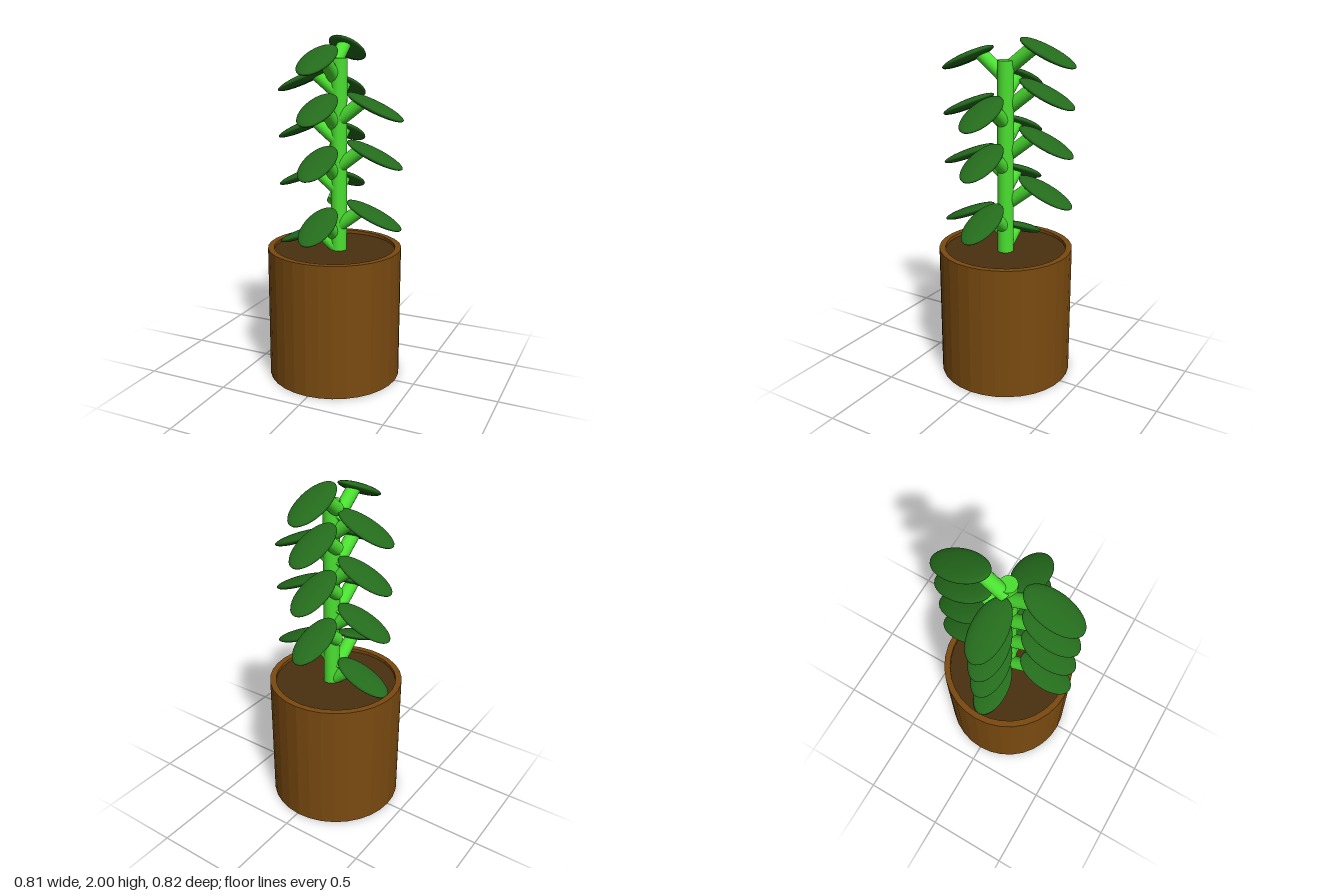
import * as THREE from 'three';

const potMat = new THREE.MeshStandardMaterial({ color: 0x7a4a10, flatShading: true });
const soilMat = new THREE.MeshStandardMaterial({ color: 0x4a3010 });
const stemMat = new THREE.MeshStandardMaterial({ color: 0x4be031 });
const leafMat = new THREE.MeshStandardMaterial({ color: 0x246b1c });

const TILT = 0.41; // downward slope of each leaf
const STALK_RADIUS = 0.039;

function addMesh(parent, name, geometry, material, x = 0, y = 0, z = 0) {
  const mesh = new THREE.Mesh(geometry, material);
  mesh.name = name;
  mesh.position.set(x, y, z);
  parent.add(mesh);
  return mesh;
}

// Cylinder running between two points
function stalkGeometry(from, to) {
  const axis = to.clone().sub(from);
  const geometry = new THREE.CylinderGeometry(STALK_RADIUS, STALK_RADIUS, axis.length(), 20);
  const turn = new THREE.Quaternion().setFromUnitVectors(
    new THREE.Vector3(0, 1, 0), axis.clone().normalize());
  geometry.applyQuaternion(turn);
  const mid = from.clone().add(to).multiplyScalar(0.5);
  return geometry.translate(mid.x, mid.y, mid.z);
}

// Rising stalk with a drooping oval leaf, pointing along local +x
function makeBranch(out, shift) {
  const branch = new THREE.Group();
  const end = out - 0.075;
  addMesh(branch, 'stalk', stalkGeometry(
    new THREE.Vector3(0, 0.03 - end * 0.78, shift),
    new THREE.Vector3(end, 0.03, shift)), stemMat);
  const leaf = addMesh(branch, 'leaf', new THREE.SphereGeometry(1, 32, 18), leafMat, out, 0, 0);
  leaf.scale.set(0.18, 0.028, 0.095);
  leaf.rotation.z = -TILT;
  return branch;
}

export function createModel() {
  const plant = new THREE.Group();
  plant.name = 'pottedPlant';

  // Pot: closed base, straight wall, flat rim and inner wall
  const profile = [[0, 0], [0.393, 0], [0.393, 0.79], [0.357, 0.79], [0.357, 0.74]]
    .map(([r, y]) => new THREE.Vector2(r, y));
  addMesh(plant, 'pot', new THREE.LatheGeometry(profile, 32), potMat, -0.012, 0, 0);
  addMesh(plant, 'soil', new THREE.CylinderGeometry(0.357, 0.357, 0.03, 32), soilMat, -0.012, 0.755, 0);

  // Main stem
  addMesh(plant, 'stem', new THREE.CylinderGeometry(0.047, 0.047, 1.12, 28), stemMat, 0.01, 1.32, -0.012);

  // Four columns of branches, one per side
  const columns = [
    { name: 'left', turn: 0, x: 0.01, z: 0, out: 0.225, shift: -0.008, heights: [1.0, 1.35, 1.617] },
    { name: 'right', turn: Math.PI, x: 0.01, z: 0, out: 0.212, shift: 0.005, heights: [0.85, 1.206, 1.49, 1.76] },
    { name: 'front', turn: -Math.PI / 2, x: 0, z: -0.01, out: 0.255, shift: 0.015, heights: [0.967, 1.323, 1.614, 1.878] },
    { name: 'back', turn: Math.PI / 2, x: -0.04, z: -0.01, out: 0.236, shift: 0.015, heights: [1.15, 1.44, 1.707, 1.927] },
  ];
  for (const { name, turn, x, z, out, shift, heights } of columns) {
    for (const y of heights) {
      const branch = makeBranch(out, shift);
      branch.name = name + 'Branch';
      branch.position.set(x, y, z);
      branch.rotation.y = turn;
      plant.add(branch);
    }
  }
  return plant;
}
